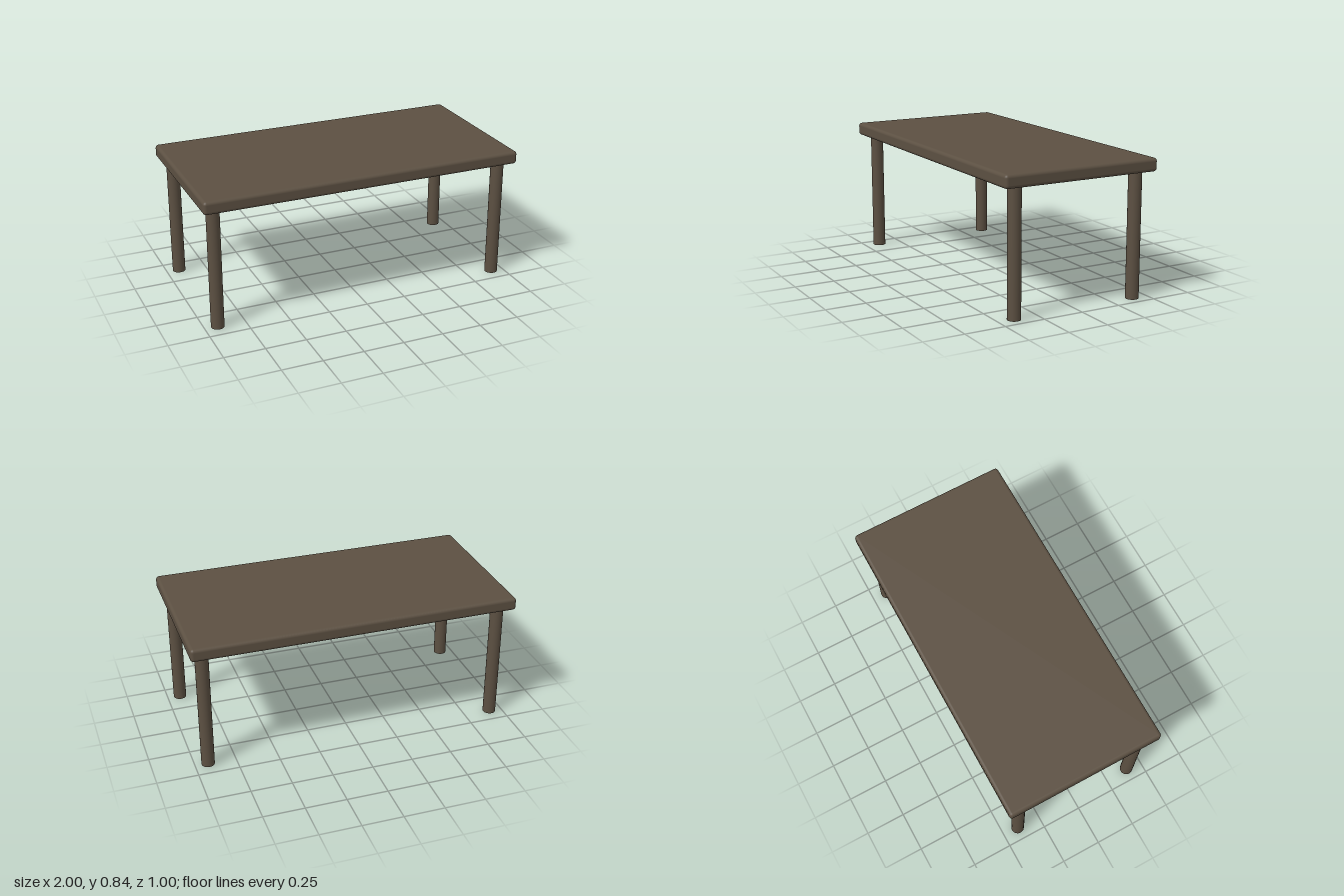
import * as THREE from 'three';
import { RoundedBoxGeometry } from 'three/addons/geometries/RoundedBoxGeometry.js';

const TOP_THICKNESS = 0.08;
const LEG_HEIGHT = 0.76;
const LEG_RADIUS = 0.04;

export function createModel() {
  const table = new THREE.Group();
  table.name = 'table';
  const wood = new THREE.MeshStandardMaterial({ color: 0x5c5042 });

  // Table top with softly rounded edges
  const top = new THREE.Mesh(new RoundedBoxGeometry(2, TOP_THICKNESS, 1, 4, 0.02), wood);
  top.name = 'tableTop';
  top.position.y = LEG_HEIGHT + TOP_THICKNESS / 2;
  table.add(top);

  // Four round legs near the corners
  const legGeometry = new THREE.CylinderGeometry(LEG_RADIUS, LEG_RADIUS, LEG_HEIGHT, 32);
  for (const [side, x] of [['Left', 0.92], ['Right', -0.92]]) {
    for (const [end, z] of [['front', 0.4], ['back', -0.4]]) {
      const leg = new THREE.Mesh(legGeometry, wood);
      leg.name = `${end}${side}Leg`;
      leg.position.set(x, LEG_HEIGHT / 2, z);
      table.add(leg);
    }
  }
  return table;
}
